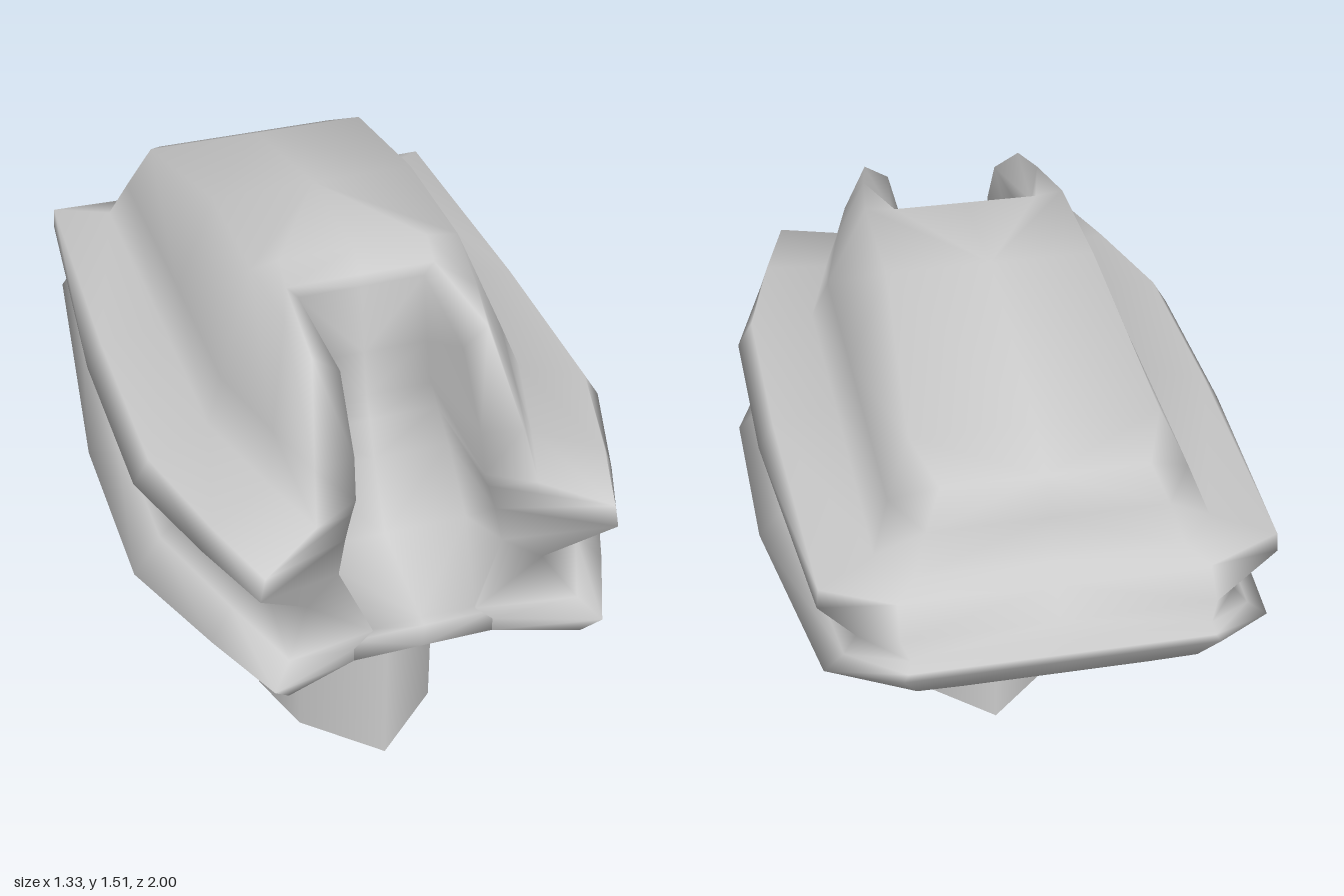
import * as THREE from 'three';
import { mergeVertices } from 'three/addons/utils/BufferGeometryUtils.js';

const material = new THREE.MeshStandardMaterial({ color: 0xcccccc, side: THREE.DoubleSide });

// Plan outline of one half, from front tip to rear centre: [x, z]
const outline = [[0.44, 1], [0.54, 0.77], [0.665, 0.45], [0.665, -0.1], [0.59, -0.83], [0.4, -1], [0, -1]];

// Shell levels from keel to shoulder.
// w: width factor at front, middle, rear side, rear end; y: height at the same places;
// z: length factor at front, rear side, rear end
const levels = [
  { w: [0.5, 0.56, 0.6, 0.6], y: [0.66, 0.555, 0.755, 0.80], z: [0.87, 0.92, 0.92] },
  { w: [0.9, 0.86, 0.9, 0.9], y: [0.69, 0.585, 0.775, 0.82], z: [0.97, 0.95, 0.94] },
  { w: [1, 1, 0.98, 1], y: [0.74, 0.73, 0.83, 0.905], z: [1, 1, 1] },
  { w: [0.88, 0.88, 0.89, 0.97], y: [0.79, 0.82, 0.87, 0.92], z: [0.95, 0.99, 0.99] },
  { w: [0.72, 0.72, 0.83, 0.95], y: [0.88, 0.885, 0.91, 0.95], z: [0.87, 0.97, 0.975] },
  { w: [1.06, 0.975, 0.995, 1], y: [1.03, 1.025, 1.04, 0.99], z: [0.98, 1.01, 0.945] },
  { w: [1.03, 0.91, 0.985, 0.99], y: [1.10, 1.095, 1.095, 1.06], z: [0.98, 1.01, 0.89] },
  { w: [0.66, 0.65, 0.73, 0.86], y: [1.13, 1.13, 1.11, 1.09], z: [0.87, 0.9, 0.83] },
  { w: [0.62, 0.58, 0.65, 0.77], y: [1.25, 1.25, 1.23, 1.20], z: [0.80, 0.83, 0.80] },
  { w: [0.52, 0.42, 0.54, 0.66], y: [1.465, 1.515, 1.37, 1.30], z: [0.64, 0.76, 0.76] },
];

// Front recess per level: cheek edge [x, y, z], then floor [y, z]
const recess = [
  [0.19, 0.65, 0.83, 0.65, 0.83],
  [0.19, 0.66, 0.87, 0.66, 0.87],
  [0.19, 0.70, 0.87, 0.73, 0.87],
  [0.14, 0.75, 0.87, 0.73, 0.84],
  [0.22, 0.93, 0.83, 0.79, 0.56],
  [0.20, 1.03, 0.82, 0.97, 0.46],
  [0.18, 1.10, 0.81, 1.07, 0.42],
  [0.17, 1.14, 0.81, 1.13, 0.39],
  [0.165, 1.25, 0.78, 1.25, 0.365],
  [0.16, 1.42, 0.65, 1.44, 0.34],
];

// One half ring: recess centre, recess corner, cheek edge, then the outer shell
function halfRing({ w, y, z }, [cx, cy, cz, fy, fz]) {
  const widths = [w[0], (w[0] + w[1]) / 2, w[1], w[1], w[2], w[3], w[3]];
  const heights = [y[0], (y[0] + y[1]) / 2, y[1], y[1], y[2], y[3], y[3]];
  const lengths = [z[0], z[0], z[0], z[1], z[1], z[2], z[2]];
  const shell = outline.map(([ox, oz], i) => [ox * widths[i], heights[i], oz * lengths[i]]);
  return [[0, fy, fz], [cx + 0.01, fy, fz], [cx, cy, cz], ...shell];
}

// Full ring, running from rear centre round the front to rear centre again
const mirrorRing = (half) => [
  ...half.slice(1).reverse().map(([x, y, z]) => [-x, y, z]), ...half];

// Smooth surface through rings, with the quads split symmetrically about x = 0
function loft(rings) {
  const n = rings[0].length;
  const index = [];
  for (let i = 0; i < rings.length - 1; i++) {
    for (let j = 0; j < n - 1; j++) {
      const a = i * n + j, b = a + 1, c = a + n, d = c + 1;
      if (j < (n - 1) / 2) index.push(a, b, c, b, d, c);
      else index.push(a, b, d, a, d, c);
    }
  }
  let geometry = new THREE.BufferGeometry();
  geometry.setAttribute('position', new THREE.Float32BufferAttribute(rings.flat(2), 3));
  geometry.setIndex(index);
  geometry = mergeVertices(geometry, 1e-4);
  geometry.computeVertexNormals();
  return geometry;
}

function shellGeometry() {
  const halves = levels.map((level, i) => halfRing(level, recess[i]));
  // Underside runs flat inwards, then rises to a shallow centre crease
  const belly = halves[0].map(([x, y, z]) => [x * 0.48, y, z]);
  const keel = halves[0].map(([, y, z], i) => [0, i < 3 ? y : y + 0.035, z]);
  // Roof closes behind the recess and along the ridge
  const lip = [0.2, 1.47, 0.33];
  const ridge = halves[9].slice(6).map(([, y, z]) => [0, y, z]);
  const roof = [[0, 1.47, 0.33], lip, lip, lip, lip, [0.2, 1.515, 0.27], ...ridge];
  const crown = [...Array(6).fill([0, 1.515, 0.27]), ...ridge];
  return loft([keel, belly, ...halves, roof, crown].map(mirrorRing));
}

// Upright open-ended eight-sided post, narrowed on its diagonals
function postGeometry(height) {
  const geometry = new THREE.CylinderGeometry(1, 1, height, 8, 1, true);
  geometry.scale(0.265, 1, 0.385);
  const p = geometry.attributes.position;
  for (let i = 0; i < p.count; i++) {
    const x = p.getX(i), z = p.getZ(i);
    if (Math.abs(x) > 0.1 && Math.abs(z) > 0.1) {
      p.setX(i, Math.sign(x) * 0.2);
      p.setZ(i, Math.sign(z) * 0.2);
    }
  }
  return geometry.translate(0, height / 2, 0.215);
}

export function createModel() {
  const model = new THREE.Group();
  const add = (name, geometry) => {
    const mesh = new THREE.Mesh(geometry, material);
    mesh.name = name;
    model.add(mesh);
  };
  add('headShell', shellGeometry());
  add('neckPost', postGeometry(0.6));
  return model;
}
